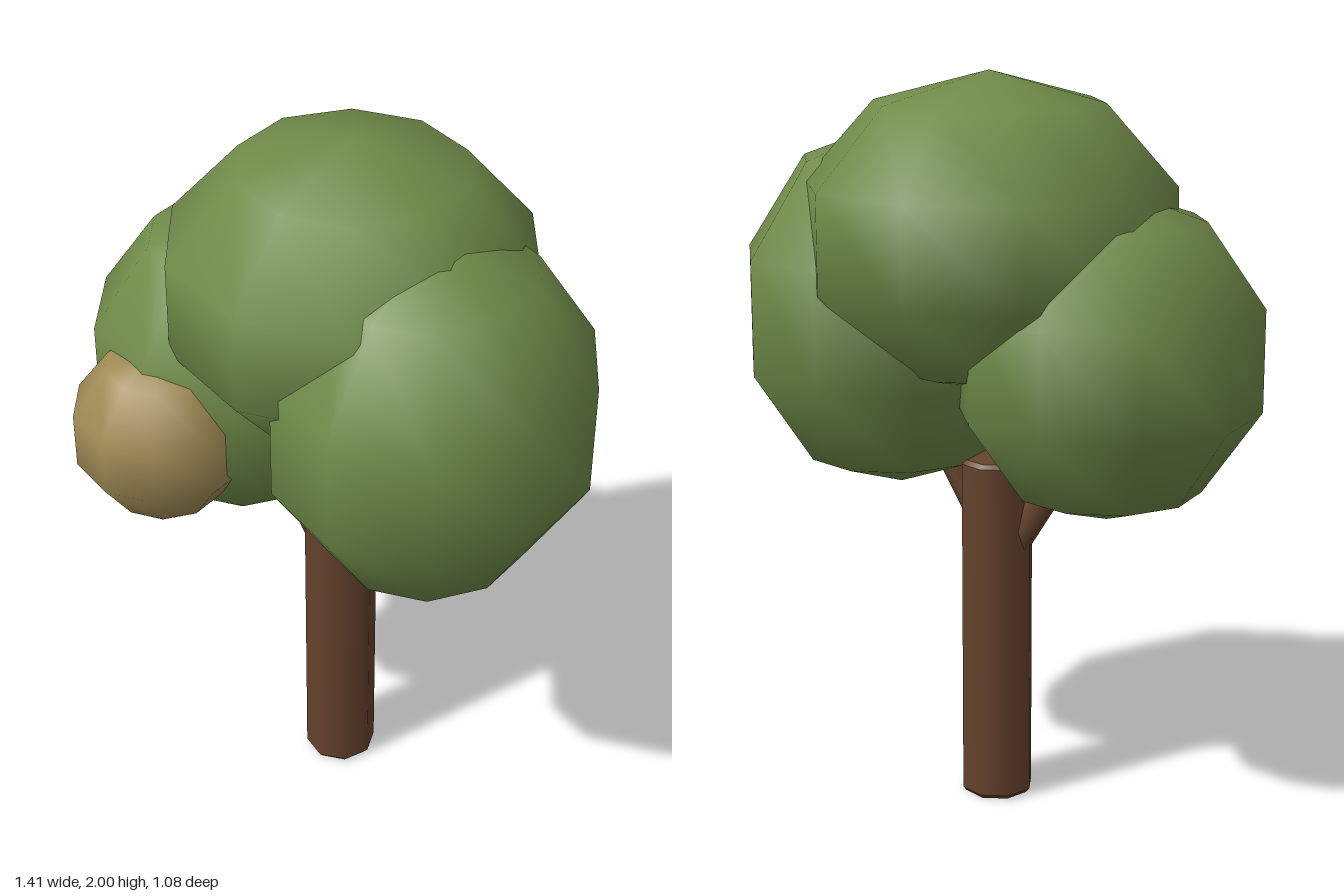
import * as THREE from 'three';

const leafGreen = new THREE.MeshStandardMaterial({ color: 0x6f8a49 });
const dryTan = new THREE.MeshStandardMaterial({ color: 0x9f8a55 });
const barkBrown = new THREE.MeshStandardMaterial({ color: 0x65432d });

export function createModel() {
  const tree = new THREE.Group();
  const add = (parent, name, geometry, material, position) => {
    const mesh = new THREE.Mesh(geometry, material);
    mesh.name = name;
    mesh.position.set(...position);
    parent.add(mesh);
    return mesh;
  };

  // Foliage: coarse ten-sided spheres with a corner facing front, stretched per clump
  const ball = new THREE.SphereGeometry(1, 10, 5).rotateY(Math.PI / 2);
  const clumps = [
    ['topFoliage', leafGreen, [0, 1.58, -0.065], [0.52, 0.42, 0.5]],
    ['leftFoliage', leafGreen, [0.31, 1.35, 0.003], [0.432, 0.5, 0.468]],
    ['rightFoliage', leafGreen, [-0.33, 1.275, -0.03], [0.42, 0.44, 0.437]],
    ['smallDryFoliage', dryTan, [-0.345, 1.19, 0.3], [0.25, 0.247, 0.247]],
  ];
  for (const [name, material, position, radii] of clumps) {
    add(tree, name, ball, material, position).scale.set(...radii);
  }

  // Trunk: eight-sided, with a small bevel at both ends
  const trunk = new THREE.Group();
  trunk.name = 'trunk';
  tree.add(trunk);
  const sections = [
    ['trunkFoot', 0, 0.012, 0.09, 0.1, false],
    ['trunkBody', 0.012, 0.95, 0.1, 0.1, true],
    ['trunkTop', 0.95, 0.962, 0.1, 0.09, false],
  ];
  for (const [name, y0, y1, r0, r1, open] of sections) {
    const geometry = new THREE.CylinderGeometry(r1, r0, y1 - y0, 8, 1, open);
    add(trunk, name, geometry, barkBrown, [0, (y0 + y1) / 2, -0.02]);
  }

  // Branches: slanting from inside the trunk into the side foliage
  const branch = (name, from, to, radius) => {
    const a = new THREE.Vector3(...from);
    const b = new THREE.Vector3(...to);
    const geometry = new THREE.CylinderGeometry(radius, radius, a.distanceTo(b), 6);
    const mid = a.clone().lerp(b, 0.5).toArray();
    const mesh = add(tree, name, geometry, barkBrown, mid);
    mesh.quaternion.setFromUnitVectors(new THREE.Vector3(0, 1, 0), b.sub(a).normalize());
  };
  branch('rightBranch', [-0.05, 0.715, -0.02], [-0.28, 1.085, -0.02], 0.04);
  branch('leftBranch', [0.05, 0.785, -0.02], [0.25, 1.13, -0.02], 0.035);

  return tree;
}
